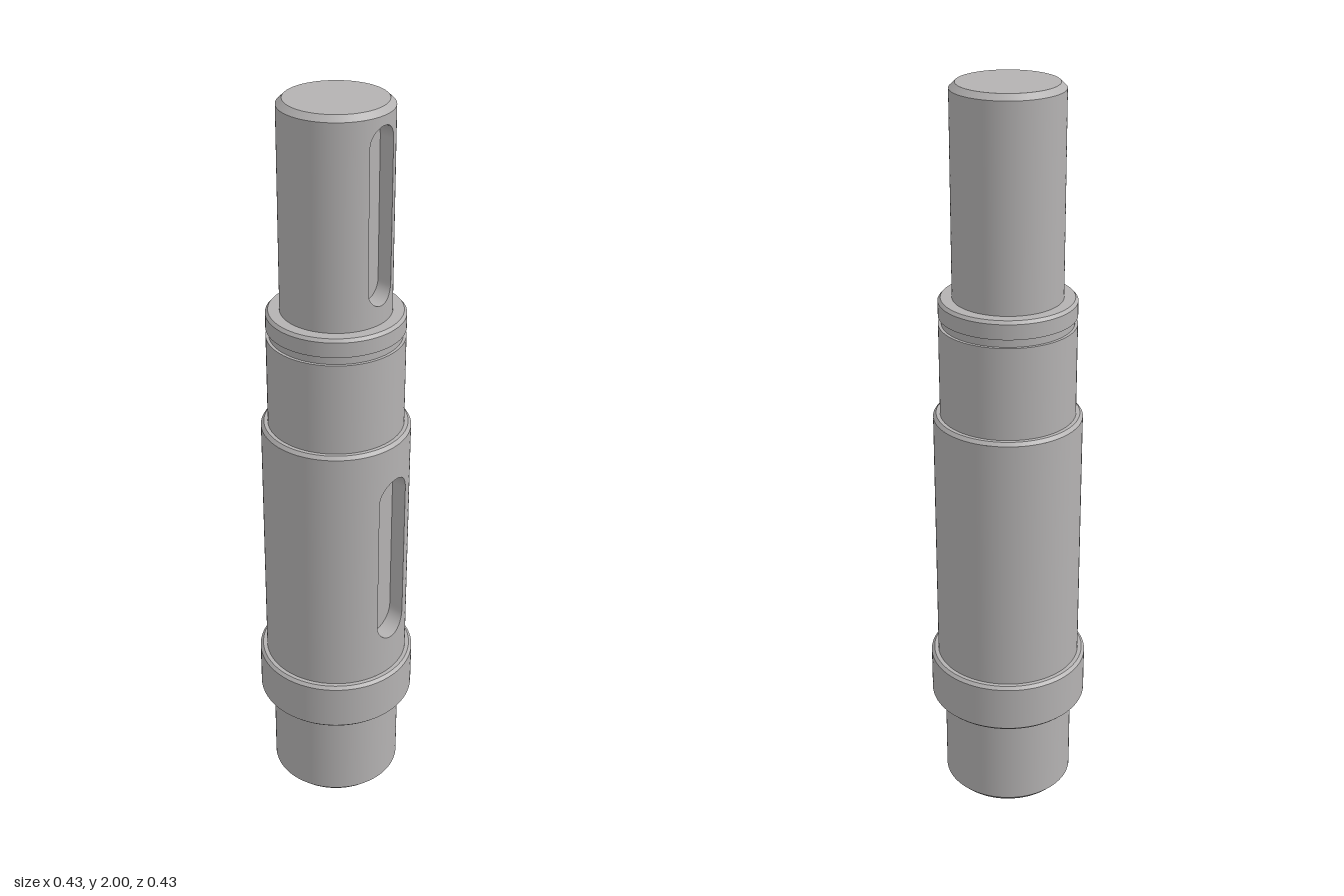
import * as THREE from 'three';
import { mergeGeometries } from 'three/addons/utils/BufferGeometryUtils.js';

const SEGMENTS = 96;

// Turned surface: every [radius, y] step is its own band, so edges stay crisp.
function turned(profile, start = 0, length = Math.PI * 2) {
  const bands = [];
  for (let i = 0; i + 1 < profile.length; i++) {
    const pair = [profile[i], profile[i + 1]].map(([r, y]) => new THREE.Vector2(r, y));
    bands.push(new THREE.LatheGeometry(pair, SEGMENTS, start, length));
  }
  return mergeGeometries(bands);
}

// Ruled surface between two rows of points of equal length.
function ruled(a, b) {
  const n = a.length;
  const index = [];
  for (let i = 0; i + 1 < n; i++) {
    index.push(i, i + 1, n + i + 1, i, n + i + 1, n + i);
  }
  const geometry = new THREE.BufferGeometry().setFromPoints([...a, ...b]);
  geometry.setIndex(index);
  geometry.computeVertexNormals();
  return geometry;
}

// Gives a patch the exact normals of a cylinder about the y axis.
function radialNormals(geometry) {
  const p = geometry.attributes.position;
  for (let i = 0; i < p.count; i++) {
    const r = Math.hypot(p.getX(i), p.getZ(i));
    geometry.attributes.normal.setXYZ(i, p.getX(i) / r, 0, p.getZ(i) / r);
  }
  return geometry;
}

export function createModel() {
  const steel = new THREE.MeshStandardMaterial({ color: 0xb4b2b2 });
  steel.name = 'steel grey';
  const model = new THREE.Group();
  model.name = 'steppedShaft';

  const add = (name, geometry, parent = model) => {
    const mesh = new THREE.Mesh(geometry, steel);
    mesh.name = name;
    parent.add(mesh);
  };

  // Plain cylinder from y0 to y1 with a round-ended keyway milled into +x.
  function keyedSection(name, r, y0, y1, w, low, high, floorX) {
    const group = new THREE.Group();
    group.name = name;
    model.add(group);

    const half = Math.asin(w / r);
    add('cylinderWall', turned([[r, y0], [r, y1]],
      Math.PI / 2 + half, Math.PI * 2 - 2 * half), group);

    // Outline arcs as [z, y], running from +z to -z
    const bottom = [], top = [];
    for (let i = 0; i <= 24; i++) {
      const t = (i / 24) * Math.PI;
      const z = w * Math.cos(t), rise = w * Math.sin(t);
      bottom.push([z, low + w - rise]);
      top.push([z, high - w + rise]);
    }
    const onSkin = ([z, y]) => new THREE.Vector3(Math.sqrt(r * r - z * z), y, z);
    const onFloor = ([z, y]) => new THREE.Vector3(floorX, y, z);
    const level = (arc, y) => arc.map(([z]) => onSkin([z, y]));

    // Skin below and above the keyway
    add('skinBelowKeyway', radialNormals(ruled(level(bottom, y0), bottom.map(onSkin))), group);
    add('skinAboveKeyway', radialNormals(ruled(top.map(onSkin), level(top, y1))), group);

    // Keyway side wall and flat floor
    const loop = [...bottom, ...[...top].reverse(), bottom[0]];
    add('keywayWall', ruled(loop.map(onSkin), loop.map(onFloor)), group);
    add('keywayFloor', ruled(bottom.map(onFloor), top.map(onFloor)), group);
  }

  // Lower journal with chamfered foot and a small relief below the collar
  add('lowerJournal', turned([
    [0, 0], [0.163, 0], [0.178, 0.016], [0.178, 0.265], [0.173, 0.27], [0.173, 0.28],
  ]));

  // Collar, wider than the rest, with chamfered rims
  add('collar', turned([
    [0.173, 0.276], [0.207, 0.276], [0.215, 0.284], [0.215, 0.409],
    [0.207, 0.417], [0.196, 0.417],
  ]));

  // Main body with the large keyway
  keyedSection('mainBody', 0.196, 0.417, 1.133, 0.056, 0.526, 1.032, 0.146);
  add('bodyShoulder', turned([[0.196, 1.133], [0.188, 1.142], [0.178, 1.142]]));

  // Upper journal with a retaining groove and end ring
  add('upperJournal', turned([
    [0.178, 1.142], [0.178, 1.391], [0.17, 1.391], [0.17, 1.413],
    [0.178, 1.413], [0.178, 1.453], [0.171, 1.461], [0.142, 1.461],
  ]));

  // Output end with the small keyway and a chamfered tip
  keyedSection('outputEnd', 0.142, 1.461, 1.986, 0.045, 1.51, 1.962, 0.096);
  add('outputTip', turned([[0.142, 1.986], [0.127, 2], [0, 2]]));

  return model;
}
